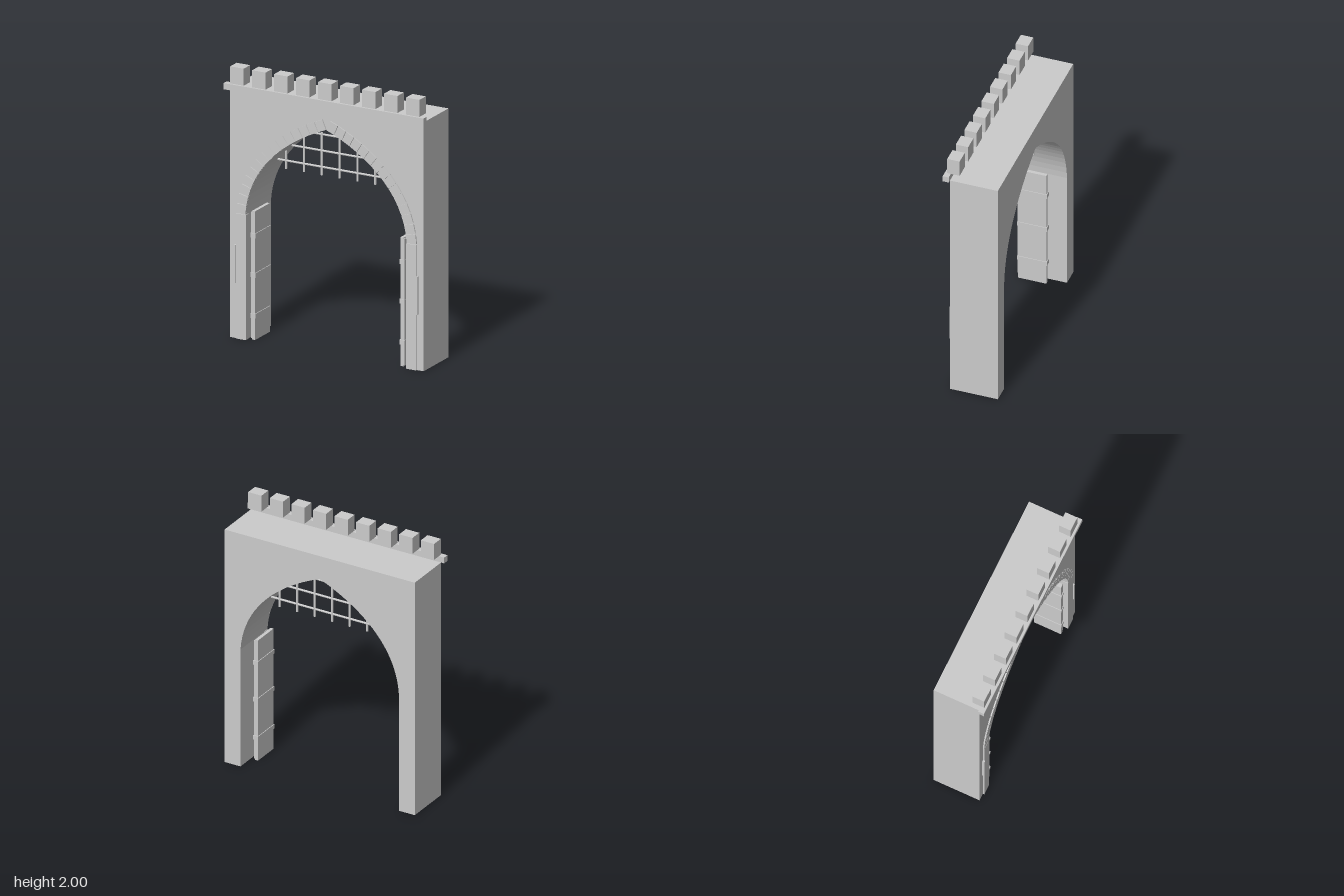
import * as THREE from 'three';

const mat = new THREE.MeshStandardMaterial({ color: 0xcccccc, flatShading: true });

function add(parent, name, geometry, x = 0, y = 0, z = 0) {
  const mesh = new THREE.Mesh(geometry, mat);
  mesh.name = name;
  mesh.position.set(x, y, z);
  parent.add(mesh);
  return mesh;
}

// Box given by its minimum and maximum on each axis
function block(parent, name, x0, x1, y0, y1, z0, z1) {
  return add(parent, name, new THREE.BoxGeometry(x1 - x0, y1 - y0, z1 - z0),
    (x0 + x1) / 2, (y0 + y1) / 2, (z0 + z1) / 2);
}

const FRONT = 0.155, BACK = -0.2;
const SPRING = 0.92, APEX = 1.65, HALF = 0.645;

// One side of the pointed arch, from springing to apex
const archCurve = new THREE.CubicBezierCurve(
  new THREE.Vector2(HALF, SPRING), new THREE.Vector2(0.62, 1.3),
  new THREE.Vector2(0.3, 1.53), new THREE.Vector2(0, APEX));
const archPoints = archCurve.getSpacedPoints(20);

// Half width of the opening at height y
function openingAt(y) {
  for (let i = 1; i < archPoints.length; i++) {
    const a = archPoints[i - 1], b = archPoints[i];
    if (y <= b.y) return a.x + (b.x - a.x) * (y - a.y) / (b.y - a.y);
  }
  return 0;
}

// Wall with the arched opening cut through to the ground
function buildWall(group) {
  const right = archPoints;
  const left = archPoints.slice(0, -1).reverse().map(p => new THREE.Vector2(-p.x, p.y));
  const shape = new THREE.Shape([
    new THREE.Vector2(0.775, 0), new THREE.Vector2(0.775, 1.83),
    new THREE.Vector2(-0.775, 1.83), new THREE.Vector2(-0.775, 0),
    new THREE.Vector2(-HALF, 0), ...left.slice().reverse(),
    ...right.slice().reverse(), new THREE.Vector2(HALF, 0),
  ]);
  const geometry = new THREE.ExtrudeGeometry(shape, { depth: FRONT - BACK, bevelEnabled: false });
  add(group, 'wall', geometry, 0, 0, BACK);
}

// Cornice ledge and merlons along the front edge
function buildBattlement(group) {
  block(group, 'cornice', -0.8, 0.8, 1.83, 1.875, FRONT, 0.2);
  for (let i = -4; i <= 4; i++) {
    const x = i * 0.1757;
    block(group, 'merlon', x - 0.054, x + 0.054, 1.875, 2, 0.09, 0.182);
  }
}

// Arch stones, jamb trim and side plates; side is +1 or -1
function buildSurround(group, side) {
  const count = 15, width = 0.077;
  const length = archCurve.getLength() / count;
  for (let i = 0; i < count; i++) {
    const u = (i + 0.5) / count;
    const p = archCurve.getPointAt(u), t = archCurve.getTangentAt(u);
    const stone = add(group, 'archStone', new THREE.BoxGeometry(width, length * 0.97, 0.04),
      side * (p.x + t.y * width / 2), p.y - t.x * width / 2, 0.145);
    stone.rotation.z = side * Math.atan2(-t.x, t.y);
  }
  const trim = block(group, 'jambTrim', 0.641, 0.72, 0, SPRING, 0.125, 0.165);
  trim.position.x *= side;
  const plate = block(group, 'sidePlate', 0.72, 0.734, 0.41, 0.69, 0.14, 0.172);
  plate.position.x *= side;
}

// Open door leaf standing beside the jamb, built for +x and mirrored by position
function buildDoor(group, side) {
  const door = new THREE.Group();
  door.name = side > 0 ? 'leftDoor' : 'rightDoor';
  group.add(door);
  const z0 = -0.07, z1 = 0.14;
  block(door, 'doorBoard', 0.581, 0.606, 0.004, 0.95, z0, z1);
  // Planks on the wall side
  const planks = 4, w = (z1 - z0) / planks;
  for (let i = 0; i < planks; i++) {
    block(door, 'plank', 0.606, 0.614, 0.012, 0.942, z0 + i * w + 0.003, z0 + (i + 1) * w - 0.003);
  }
  // Iron bands wrapped round the leaf
  for (const y of [0.18, 0.48, 0.77]) {
    block(door, 'band', 0.576, 0.617, y - 0.017, y + 0.017, z0 - 0.005, z1 + 0.005);
  }
  // Studs
  for (const y of [0.32, 0.42, 0.73, 0.82]) {
    for (const z of [z0 + 0.03, z1 - 0.03]) {
      const stud = add(door, 'stud', new THREE.CylinderGeometry(0.006, 0.006, 0.01, 6), 0.616, y, z);
      stud.rotation.z = Math.PI / 2;
    }
  }
  // Latch with hanging handle
  block(door, 'latch', 0.614, 0.64, 0.585, 0.63, 0.0, 0.05);
  block(door, 'handle', 0.621, 0.632, 0.515, 0.585, 0.015, 0.035);
  for (const part of door.children) part.position.x *= side;
}

// Raised grating in the head of the arch
function buildGrating(group) {
  const z = -0.03, r = 0.008;
  for (const y of [1.3, 1.42, 1.54]) {
    const half = openingAt(y) - 0.005;
    const bar = add(group, 'gratingCrossbar', new THREE.CylinderGeometry(r, r, half * 2, 8), 0, y, z);
    bar.rotation.z = Math.PI / 2;
  }
  for (let i = -3; i <= 3; i++) {
    const x = i * 0.1425, bottom = 1.24;
    let top = 1.555;
    while (openingAt(top) < Math.abs(x) + r) top -= 0.005;
    add(group, 'gratingBar', new THREE.CylinderGeometry(r, r, top - bottom, 8), x, (top + bottom) / 2, z);
  }
}

export function createModel() {
  const group = new THREE.Group();
  group.name = 'gatehouse';
  buildWall(group);
  buildBattlement(group);
  for (const side of [1, -1]) {
    buildSurround(group, side);
    buildDoor(group, side);
  }
  buildGrating(group);
  return group;
}
